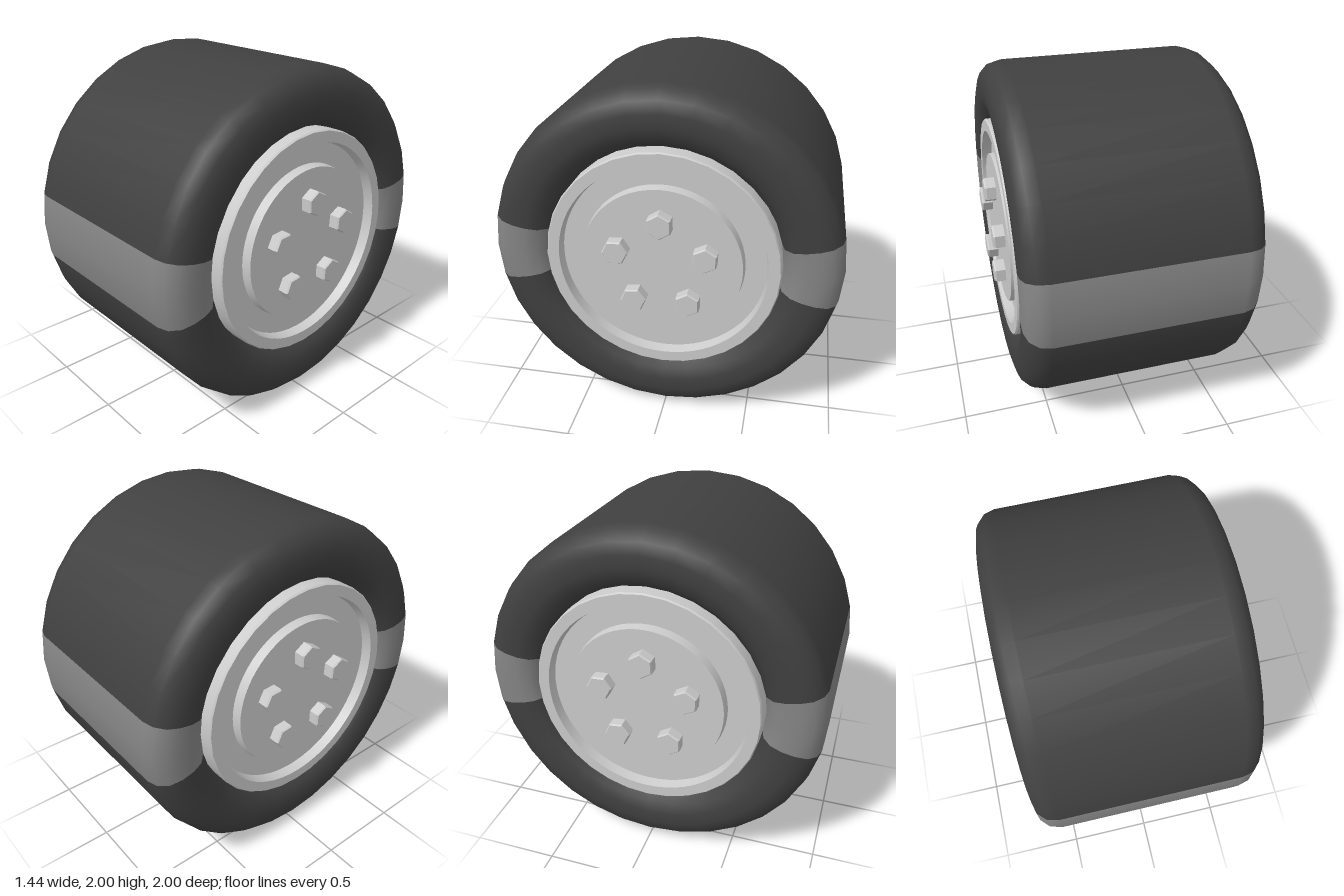
import * as THREE from 'three';
import { toCreasedNormals } from 'three/addons/utils/BufferGeometryUtils.js';

const RAD = Math.PI / 180;
const HALF_STRIPE = 11.25 * RAD;

// Lathe whose axis lies along x; profile points are [radius, x]
function latheX(profile, segments, start = 0, sweep = Math.PI * 2) {
  const points = profile.map(([r, x]) => new THREE.Vector2(r, x));
  return new THREE.LatheGeometry(points, segments, start, sweep).rotateZ(-Math.PI / 2);
}

// Tyre section: rounded bead, flat sidewall, rounded shoulder, mirrored in x
function tyreProfile() {
  const half = [];
  const corner = 0.133, side = 0.667;
  for (const [centre, from] of [[1 - corner, 90], [0.66 + corner, 180]]) {
    for (let i = 0; i <= 3; i++) {
      const a = (from === 90 ? i * 30 : 90 + i * 30) * RAD;
      half.push([centre + corner * Math.cos(a), side - corner + corner * Math.sin(a)]);
    }
  }
  const mirrored = half.map(([r, x]) => [r, -x]).reverse();
  return [...mirrored, ...half];
}

export function createModel() {
  const model = new THREE.Group();
  model.name = 'wheel';
  const rubber = new THREE.MeshStandardMaterial({ color: 0x404040, side: THREE.DoubleSide });
  const stripePaint = new THREE.MeshStandardMaterial({ color: 0x858585, side: THREE.DoubleSide });
  const metal = new THREE.MeshStandardMaterial({ color: 0xcccccc });

  const add = (parent, name, geometry, material) => {
    const mesh = new THREE.Mesh(geometry, material);
    mesh.name = name;
    parent.add(mesh);
    return mesh;
  };

  const wheel = new THREE.Group();
  wheel.name = 'wheelBody';
  wheel.position.y = 1;
  model.add(wheel);

  // Tyre halves and the two stripes between them
  const profile = tyreProfile();
  for (const turn of [0, Math.PI]) {
    const end = turn ? 'Back' : 'Front';
    add(wheel, 'tyre' + (turn ? 'Upper' : 'Lower'),
      latheX(profile, 14, turn + HALF_STRIPE, Math.PI - 2 * HALF_STRIPE), rubber);
    add(wheel, 'stripe' + end,
      latheX(profile, 2, turn - HALF_STRIPE, 2 * HALF_STRIPE), stripePaint);
  }

  // Rim: coarse outer lip, then a finer dish with groove and raised hub
  const lip = toCreasedNormals(latheX([[0.662, 0.5], [0.662, 0.65], [0.655, 0.66], [0.61, 0.66]], 32), 0.5);
  const dish = toCreasedNormals(latheX([
    [0.62, 0.66], [0.59, 0.66], [0.58, 0.6], [0.46, 0.6], [0.452, 0.655], [0, 0.655],
  ], 64), 0.5);

  // Hexagonal bolt with a chamfered top
  const bolt = toCreasedNormals(
    latheX([[0.075, 0], [0.075, 0.057], [0.068, 0.066], [0, 0.066]], 6), 0.2);
  const boltTwists = [32, 3, 6, 30, 27];

  for (const side of ['Left', 'Right']) {
    const face = new THREE.Group();
    face.name = 'rim' + side;
    if (side === 'Right') face.rotation.y = Math.PI;
    wheel.add(face);
    add(face, 'rimLip', lip, metal);
    add(face, 'rimDish', dish, metal);
    boltTwists.forEach((twist, i) => {
      const a = (90 + 72 * i) * RAD;
      const mesh = add(face, 'bolt', bolt, metal);
      mesh.position.set(0.654, 0.262 * Math.sin(a), -0.262 * Math.cos(a));
      mesh.rotation.x = twist * RAD;
    });
  }
  return model;
}
